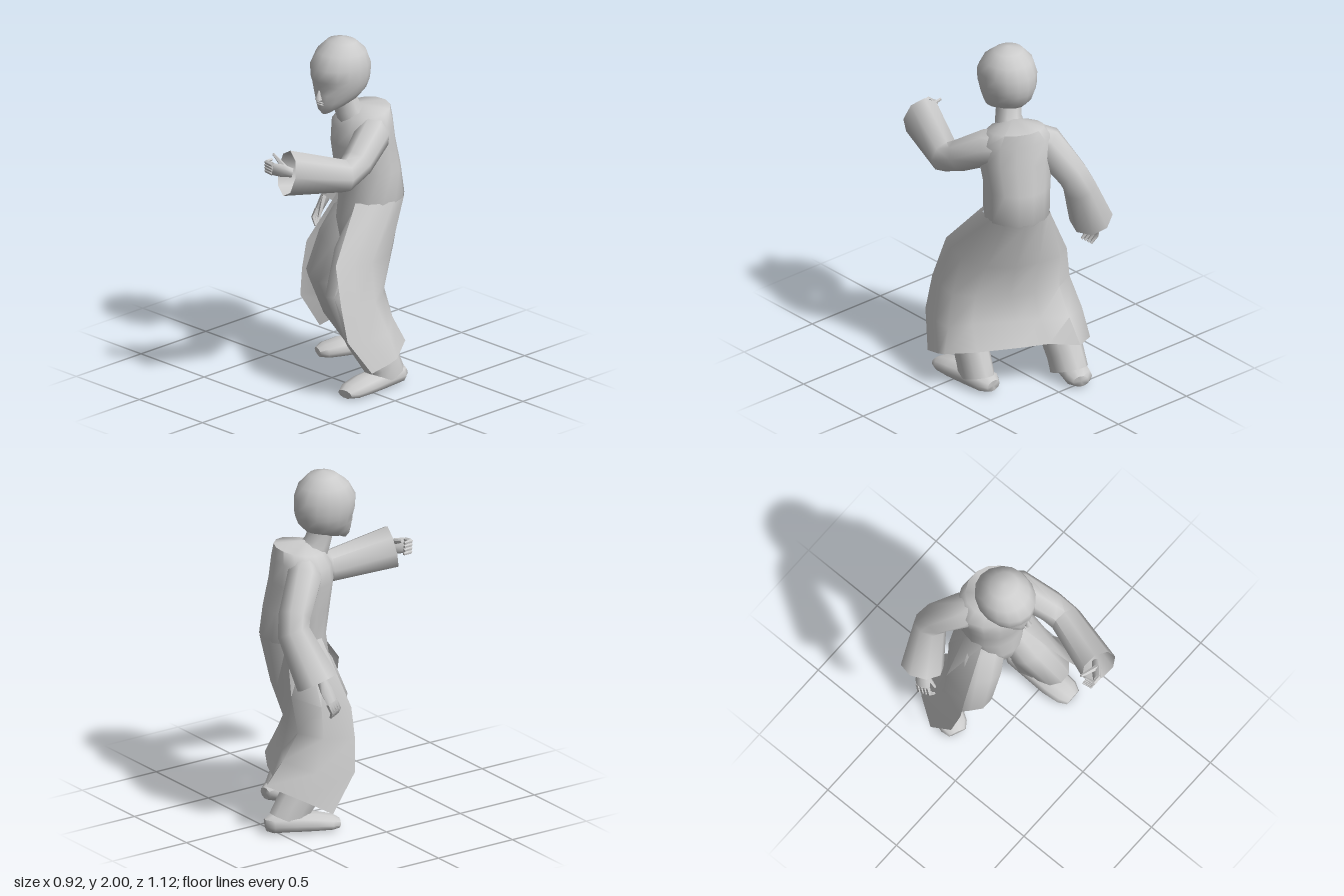
import * as THREE from 'three';
import { toCreasedNormals } from 'three/addons/utils/BufferGeometryUtils.js';

const material = new THREE.MeshStandardMaterial({ color: 0xcccccc, side: THREE.DoubleSide });
const V = (p) => new THREE.Vector3(p[0], p[1], p[2]);

// Skin a list of point rows; the ends may be closed with a centre point
function loft(name, rows, { closed = true, start = null, end = null, crease = 1.1 } = {}) {
  const n = rows[0].length, pos = rows.flat().flatMap((p) => [p.x, p.y, p.z]), index = [];
  const columns = closed ? n : n - 1;
  for (let i = 0; i < rows.length - 1; i++) {
    for (let j = 0; j < columns; j++) {
      const a = i * n + j, b = i * n + (j + 1) % n;
      index.push(a, a + n, b, b, a + n, b + n);
    }
  }
  const cap = (centre, base, flip) => {
    const c = pos.length / 3;
    pos.push(centre.x, centre.y, centre.z);
    for (let j = 0; j < n; j++) {
      const a = base + j, b = base + (j + 1) % n;
      index.push(...(flip ? [c, a, b] : [c, b, a]));
    }
  };
  if (start) cap(start, 0, true);
  if (end) cap(end, (rows.length - 1) * n, false);
  const geo = new THREE.BufferGeometry();
  geo.setAttribute('position', new THREE.Float32BufferAttribute(pos, 3));
  geo.setIndex(index);
  const mesh = new THREE.Mesh(toCreasedNormals(geo, crease), material);
  mesh.name = name;
  return mesh;
}

// Tube through [x, y, z, radiusA, radiusB] stations; radiusA lies along ref
function limb(name, stations, { ref = [1, 0, 0], sides = 8, open = false, floor = -1 } = {}) {
  const pts = stations.map(V);
  const rows = stations.map((s, i) => {
    const t = pts[Math.min(i + 1, pts.length - 1)].clone().sub(pts[Math.max(i - 1, 0)]).normalize();
    const u = V(ref).addScaledVector(t, -V(ref).dot(t)).normalize();
    const v = u.clone().cross(t);
    return Array.from({ length: sides }, (_, j) => {
      const a = (j / sides) * Math.PI * 2;
      const p = pts[i].clone().addScaledVector(u, Math.cos(a) * s[3]).addScaledVector(v, Math.sin(a) * (s[4] ?? s[3]));
      p.y = Math.max(p.y, floor);
      return p;
    });
  });
  return loft(name, rows, { start: pts[0], end: open ? null : pts[pts.length - 1] });
}

function makeTorso() {
  const rot = 0.4, sides = 14;
  // centre x, y, z, half width, half depth, rise towards the back
  const sections = [
    [0.045, 0.81, -0.13, 0.09, 0.08, 0], [0.06, 0.93, -0.18, 0.155, 0.15, 0],
    [0.075, 1.05, -0.23, 0.185, 0.185, 0], [0.06, 1.22, -0.215, 0.188, 0.185, 0],
    [0.05, 1.38, -0.19, 0.21, 0.178, 0], [0.045, 1.49, -0.19, 0.212, 0.165, 0.02],
    [0.055, 1.558, -0.2, 0.16, 0.14, 0.02],
  ];
  const rows = sections.map(([cx, y, cz, rx, rz, tilt]) => Array.from({ length: sides }, (_, j) => {
    const a = (j / sides) * Math.PI * 2, x = Math.cos(a) * rx, z = Math.sin(a) * rz;
    return new THREE.Vector3(cx + x * Math.cos(rot) - z * Math.sin(rot),
      y - tilt * Math.sin(a), cz + x * Math.sin(rot) + z * Math.cos(rot));
  }));
  return loft('torso', rows, { start: V([0.045, 0.74, -0.11]), end: V([0.035, 1.595, -0.16]) });
}

// Open coat skirt: each row runs from the left front edge round the back to the right front edge
function makeSkirt() {
  const rows = [
    [[.43, .17, .11], [.45, .2, 0], [.455, .22, -.06], [.355, .26, -.22], [.14, .27, -.355], [0, .27, -.42], [-.12, .27, -.545], [-.3, .21, -.42], [-.385, .13, -.28]],
    [[.35, .36, .22], [.39, .35, .09], [.41, .36, -.04], [.33, .4, -.15], [.12, .4, -.29], [.01, .4, -.35], [-.13, .4, -.44], [-.31, .36, -.34], [-.385, .35, -.13]],
    [[.3, .55, .22], [.33, .54, .12], [.345, .53, 0], [.28, .54, -.12], [.14, .55, -.25], [.01, .55, -.31], [-.14, .55, -.345], [-.28, .54, -.27], [-.34, .53, -.1]],
    [[.225, .77, .19], [.27, .76, .1], [.295, .75, -.02], [.265, .75, -.19], [.16, .76, -.32], [.03, .77, -.37], [-.12, .76, -.375], [-.26, .72, -.27], [-.305, .7, -.1]],
  ].map((row) => row.map(V));
  // the top row follows the waist
  rows.push(Array.from({ length: 9 }, (_, i) => {
    const a = THREE.MathUtils.degToRad(72 - i * 34.5);
    return V([0.075 + 0.187 * Math.cos(a), 1.055, -0.23 + 0.187 * Math.sin(a)]);
  }));
  // columns run against the usual ring direction, so turn them round
  return loft('coatSkirt', rows.map((row) => row.reverse()), { closed: false });
}

function makeHead() {
  const group = new THREE.Group(), sides = 16;
  group.name = 'head';
  // front y, back y, half width, front z, back z, eye socket depth
  const sections = [
    [1.58, 1.635, 0.04, 0.07, -0.05, 0], [1.605, 1.64, 0.07, 0.09, -0.13, 0],
    [1.65, 1.66, 0.1, 0.096, -0.185, 0], [1.7, 1.7, 0.128, 0.1, -0.222, 0],
    [1.745, 1.75, 0.145, 0.103, -0.24, 0.016], [1.78, 1.79, 0.152, 0.114, -0.247, 0],
    [1.85, 1.85, 0.157, 0.114, -0.245, 0], [1.925, 1.92, 0.137, 0.07, -0.215, 0],
    [1.98, 1.975, 0.085, 0.0, -0.155, 0],
  ];
  const rows = sections.map(([yf, yb, w, zf, zb, dent]) => Array.from({ length: sides }, (_, j) => {
    const a = (j / sides) * Math.PI * 2, s = Math.sin(a);
    const socket = j === 3 || j === 5 ? dent : 0;
    return new THREE.Vector3(Math.cos(a) * w, yb + (yf - yb) * (s + 1) / 2, (zf + zb) / 2 + s * (zf - zb) / 2 - socket);
  }));
  group.add(loft('skull', rows, { start: V([0, 1.6, 0.02]), end: V([0, 2, -0.075]) }));

  const nose = new THREE.Mesh(new THREE.ConeGeometry(0.021, 0.07, 6), material);
  nose.name = 'nose';
  nose.position.set(0, 1.707, 0.099);
  nose.rotation.x = -0.1;
  group.add(nose);
  for (const y of [1.642, 1.654]) {
    const lip = new THREE.Mesh(new THREE.SphereGeometry(1, 8, 5), material);
    lip.name = 'lip';
    lip.scale.set(0.028, 0.007, 0.009);
    lip.position.set(0, y, 0.093);
    group.add(lip);
  }
  group.add(limb('neck', [[0.035, 1.5, -0.14, 0.09], [0.02, 1.58, -0.1, 0.074], [0, 1.68, -0.08, 0.068]]));
  return group;
}

// Palm, four curled fingers and a thumb; spread runs across the knuckles
function makeHand(name, wrist, knuckle, bend, tip, thumb, spread) {
  const group = new THREE.Group();
  group.name = name;
  group.add(limb('palm', [[...wrist, 0.028, 0.024], [...wrist.map((w, i) => (w + knuckle[i]) / 2), 0.044, 0.025],
    [...knuckle, 0.042, 0.018]], { ref: spread }));
  for (let k = -1.5; k <= 1.5; k++) {
    const shift = (p, r) => [...p.map((c, i) => c + spread[i] * k * 0.02), r];
    group.add(limb('finger', [shift(knuckle, 0.014), shift(bend, 0.013), shift(tip, 0.008)], { ref: spread, sides: 5 }));
  }
  const root = wrist.map((w, i) => w * 0.6 + knuckle[i] * 0.4 + spread[i] * 0.025);
  group.add(limb('thumb', [[...root, 0.017], [...thumb, 0.008]], { ref: spread, sides: 5 }));
  return group;
}

function makeFoot(name, heel, toe) {
  const dx = toe[0] - heel[0], dz = toe[1] - heel[1], len = Math.hypot(dx, dz);
  // fraction of length, height, half width, half height
  const sections = [[0, 0.045, 0.045, 0.035], [0.1, 0.05, 0.078, 0.055], [0.4, 0.05, 0.085, 0.06],
    [0.68, 0.045, 0.09, 0.053], [0.9, 0.035, 0.078, 0.042], [1, 0.028, 0.052, 0.025]];
  return limb(name, sections.map(([t, y, w, h]) => [heel[0] + dx * t, y, heel[1] + dz * t, w, h]),
    { ref: [dz / len, 0, -dx / len], sides: 10, floor: 0 });
}

export function createModel() {
  const model = new THREE.Group();
  model.name = 'robedFigure';
  model.add(makeTorso(), makeSkirt(), makeHead());

  // Sleeves, flaring to open cuffs
  model.add(limb('leftSleeve', [[0.1, 1.48, -0.24, 0.08, 0.09], [0.19, 1.455, -0.13, 0.1, 0.105], [0.25, 1.35, 0.05, 0.09],
    [0.26, 1.305, 0.15, 0.09, 0.094], [0.145, 1.38, 0.49, 0.108, 0.13]], { open: true }));
  model.add(limb('rightSleeve', [[-0.01, 1.5, -0.22, 0.08], [-0.1, 1.44, -0.275, 0.103], [-0.185, 1.265, -0.4, 0.092],
    [-0.217, 1.185, -0.428, 0.094], [-0.355, 0.917, -0.365, 0.124, 0.12]], { ref: [0, 0, 1], open: true }));

  // Hands
  model.add(makeHand('leftHand', [0.16, 1.38, 0.46], [0.08, 1.4, 0.535], [0.035, 1.405, 0.54], [0.025, 1.405, 0.49],
    [0.018, 1.455, 0.47], [0.2, 0.96, 0.2]));
  model.add(makeHand('rightHand', [-0.37, 0.94, -0.35], [-0.415, 0.81, -0.31], [-0.425, 0.76, -0.29], [-0.395, 0.72, -0.28],
    [-0.37, 0.78, -0.26], [0.3, 0.2, 0.93]));

  // Trouser legs, bent at the knee
  model.add(limb('leftLeg', [[0.13, 1.0, -0.2, 0.08, 0.11], [0.14, 0.9, -0.145, 0.11, 0.135], [0.153, 0.76, -0.035, 0.12, 0.13],
    [0.195, 0.57, 0.09, 0.105, 0.12], [0.25, 0.33, 0, 0.09, 0.12], [0.282, 0.14, -0.11, 0.088, 0.115],
    [0.285, 0.06, -0.135, 0.085, 0.125]], { sides: 10 }));
  model.add(limb('rightLeg', [[0.03, 1.0, -0.22, 0.08, 0.11], [-0.03, 0.9, -0.205, 0.13, 0.135], [-0.1, 0.74, -0.17, 0.142, 0.13],
    [-0.185, 0.54, -0.15, 0.125, 0.12], [-0.178, 0.35, -0.24, 0.117, 0.12], [-0.155, 0.14, -0.38, 0.1, 0.115],
    [-0.15, 0.06, -0.415, 0.095, 0.125]], { sides: 10 }));

  // Shoes
  model.add(makeFoot('leftShoe', [0.278, -0.27], [0.288, 0.18]));
  model.add(makeFoot('rightShoe', [-0.12, -0.55], [-0.285, -0.17]));
  return model;
}
